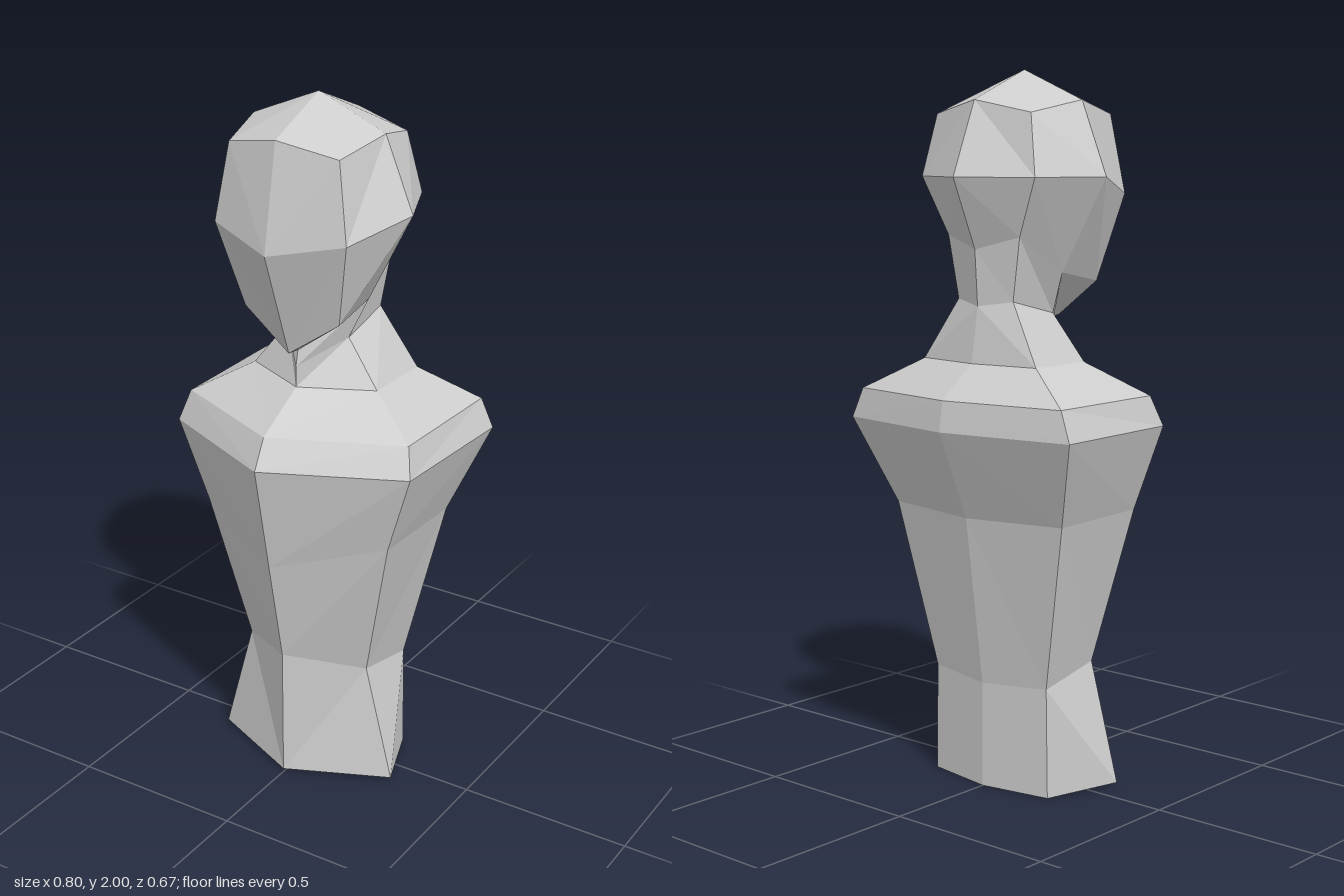
import * as THREE from 'three';

// Half cross-sections: points run from the front centre, round the left (+x) side, to the back centre.
const base = [[0, 0.01, 0.21], [0.29, 0.01, 0.08], [0.21, 0, -0.13], [0, 0, -0.165]];
const waist = [[0, 0.4, 0.21], [0.2, 0.35, 0.075], [0.205, 0.31, -0.13], [0, 0.3, -0.165]];
const ribs = [[0, 0.71, 0.272], [0.3, 0.79, 0.135], [0.305, 0.785, -0.185], [0, 0.78, -0.23]];
const chest = [[0, 1.03, 0.335], [0.38, 1.03, 0.16], [0.4, 1.03, -0.27], [0, 1.03, -0.335]];
const shoulder = [[0, 1.115, 0.29], [0.357, 1.115, 0.13], [0.365, 1.115, -0.262], [0, 1.115, -0.322]];
const neckBase = [[0, 1.205, 0.13], [0.2, 1.205, 0.035], [0.205, 1.205, -0.175], [0, 1.205, -0.205]];
const neckMid = [[0, 1.265, 0.13], [0.1, 1.335, 0.02], [0.1, 1.375, -0.147], [0, 1.36, -0.18]];
const neckTop = [[0, 1.31, 0.12], [0.15, 1.45, 0], [0.13, 1.55, -0.155], [0, 1.515, -0.19]];

// Head sections have one more point per side; the lowest shares the neck's top edge.
const jaw = [[0, 1.315, 0.165], [0.15, 1.42, 0.15], ...neckTop.slice(1)];
const cheek = [[0, 1.62, 0.275], [0.205, 1.662, 0.205], [0.29, 1.71, 0.015], [0.205, 1.71, -0.18], [0, 1.71, -0.275]];
const brow = [[0, 1.915, 0.22], [0.17, 1.88, 0.183], [0.205, 1.915, 0.015], [0.17, 1.88, -0.155], [0, 1.915, -0.19]];
const crown = [0, 2, 0.015];

// Quads between successive half sections, lowest first
function loft(...rings) {
  const faces = [];
  for (let r = 0; r < rings.length - 1; r++) {
    const a = rings[r], b = rings[r + 1];
    for (let i = 0; i < a.length - 1; i++) faces.push([a[i], a[i + 1], b[i + 1], b[i]]);
  }
  return faces;
}

// Fans each polygon into triangles and mirrors it across x = 0
function mirroredMesh(name, faces, material) {
  const positions = [];
  const flip = ([x, y, z]) => [-x, y, z];
  for (const f of faces) {
    for (let i = 1; i < f.length - 1; i++) {
      positions.push(...f[0], ...f[i], ...f[i + 1]);
      positions.push(...flip(f[0]), ...flip(f[i + 1]), ...flip(f[i]));
    }
  }
  const geometry = new THREE.BufferGeometry();
  geometry.setAttribute('position', new THREE.Float32BufferAttribute(positions, 3));
  geometry.computeVertexNormals();
  const mesh = new THREE.Mesh(geometry, material);
  mesh.name = name;
  return mesh;
}

export function createModel() {
  const model = new THREE.Group();
  model.name = 'bust';
  const material = new THREE.MeshStandardMaterial({ color: 0xcccccc, flatShading: true });

  // Torso with closed underside
  const torso = [...loft(base, waist, ribs, chest, shoulder, neckBase), [...base].reverse()];

  // Neck, flaring up into the jaw and the back of the skull
  const neck = loft(neckBase, neckMid, neckTop);

  // Head: underside of the chin, face and skull, then the top facets
  const head = [
    ...loft(neckTop.slice(0, 2), jaw.slice(0, 2)),
    ...loft(jaw, cheek, brow),
    [brow[1], brow[2], crown, brow[0]],
    [brow[3], brow[4], crown, brow[2]],
  ];

  model.add(
    mirroredMesh('torso', torso, material),
    mirroredMesh('neck', neck, material),
    mirroredMesh('head', head, material),
  );
  return model;
}
